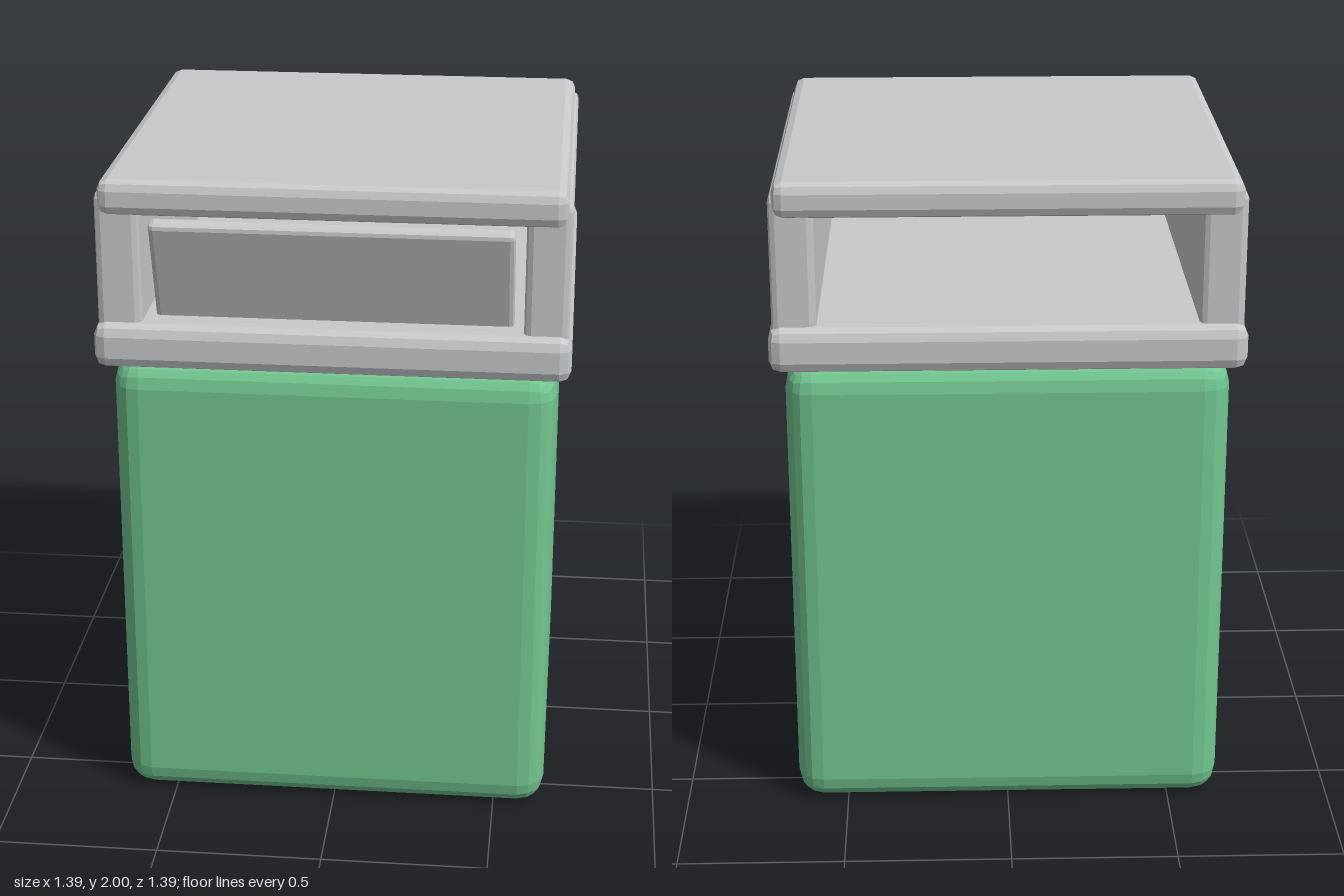
import * as THREE from 'three';
import { RoundedBoxGeometry } from 'three/addons/geometries/RoundedBoxGeometry.js';

const material = (name, color) => {
  const m = new THREE.MeshStandardMaterial({ color, flatShading: true });
  m.name = name;
  return m;
};

export function createModel() {
  const group = new THREE.Group();
  group.name = 'litterBin';
  const green = material('green', 0x72c690);
  const grey = material('grey', 0xc8c9cb);

  // Bevelled box given by its size and centre
  const block = (name, mat, [w, h, d], [x, y, z], bevel, steps = 1) => {
    const mesh = new THREE.Mesh(new RoundedBoxGeometry(w, h, d, steps, bevel), mat);
    mesh.name = name;
    mesh.position.set(x, y, z);
    group.add(mesh);
    return mesh;
  };

  // Container and the rim around its top
  block('body', green, [1.31, 1.44, 1.31], [0, 0.72, 0], 0.08, 2);
  block('rim', grey, [1.39, 0.135, 1.39], [0, 1.503, 0], 0.035);

  // Hood: two side walls carrying the lid, open at front and back
  for (const side of [-1, 1]) {
    const name = side > 0 ? 'leftWall' : 'rightWall';
    block(name, grey, [0.13, 0.46, 1.31], [side * 0.62, 1.73, 0], 0.02);
  }
  block('lid', grey, [1.345, 0.105, 1.355], [0, 1.9475, 0], 0.03);

  // Front flap, leaning outwards at the top
  const flap = block('flap', grey, [1.05, 0.4, 0.05], [0, 1.69, 0.595], 0.015);
  flap.rotation.x = THREE.MathUtils.degToRad(18);

  return group;
}
